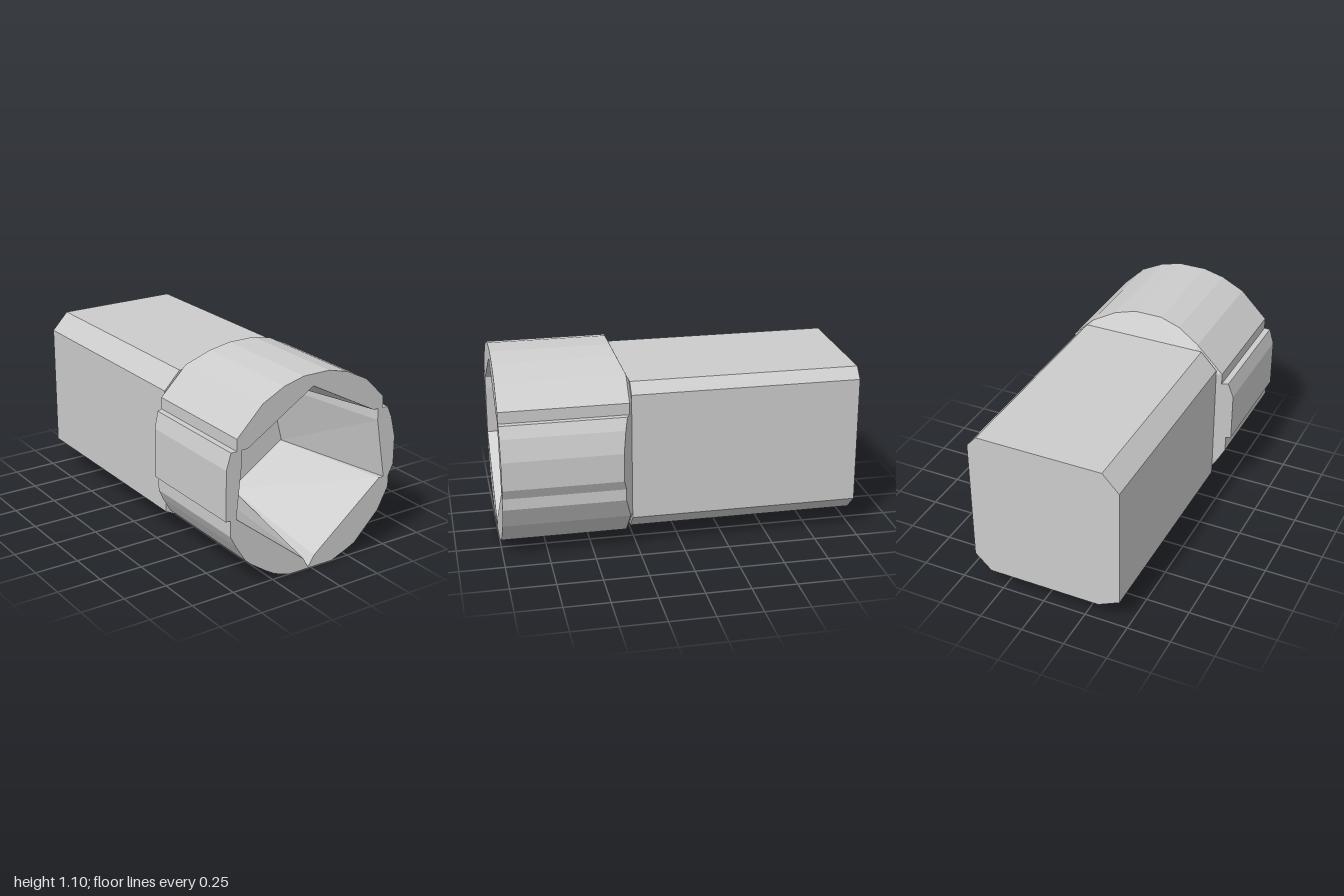
import * as THREE from 'three';

const FRONT = 1, SHOULDER = 0.28, BACK = -1;

// Cross-sections are [x, y] pairs, clockwise as seen from the front.
const OUTLINE = [
  [-0.08, 1.095], [0.08, 1.095], [0.2, 1.065], [0.33, 1], [0.45, 0.88], [0.45, 0.815],
  [0.485, 0.815], [0.515, 0.75], [0.545, 0.63], [0.545, 0.47], [0.515, 0.41], [0.515, 0.345],
  [0.45, 0.22], [0.295, 0.065], [0.23, 0.035], [0.14, 0], [-0.145, 0], [-0.235, 0.03],
  [-0.295, 0.065], [-0.39, 0.13], [-0.425, 0.16], [-0.485, 0.255], [-0.52, 0.32], [-0.52, 0.41],
  [-0.547, 0.41], [-0.547, 0.69], [-0.52, 0.78], [-0.485, 0.78], [-0.485, 0.845],
  [-0.33, 1], [-0.2, 1.065],
];
const MOUTH = [
  [-0.017, 1.03], [0.39, 0.815], [0.42, 0.815], [0.42, 0.75], [0.48, 0.41], [0.45, 0.41],
  [0.02, 0.065], [-0.017, 0.005], [-0.05, 0.065], [-0.485, 0.41], [-0.455, 0.7],
  [-0.455, 0.78], [-0.42, 0.78],
];
const FLOOR = [
  [-0.017, 0.91], [0.2, 0.815], [0.235, 0.815], [0.235, 0.78], [0.33, 0.41], [0.32, 0.41],
  [-0.017, 0.19], [-0.017, 0.19], [-0.017, 0.19], [-0.36, 0.41], [-0.3, 0.72],
  [-0.3, 0.78], [-0.265, 0.78],
];
const SHANK = [
  [-0.36, 0.97], [0.36, 0.97], [0.415, 0.91], [0.415, 0.19],
  [0.32, 0.1], [-0.33, 0.1], [-0.455, 0.16], [-0.455, 0.87],
];

const toPoints = (list) => list.map(([x, y]) => new THREE.Vector2(x, y));
const atZ = (list, z) => list.map(([x, y]) => [x, y, z]);

// Skin a series of matching rings with flat quads.
function loft(rings) {
  const pos = [];
  for (let r = 0; r < rings.length - 1; r++) {
    const a = rings[r], b = rings[r + 1], n = a.length;
    for (let i = 0; i < n; i++) {
      const j = (i + 1) % n;
      pos.push(...a[i], ...a[j], ...b[i], ...a[j], ...b[j], ...b[i]);
    }
  }
  const geo = new THREE.BufferGeometry();
  geo.setAttribute('position', new THREE.Float32BufferAttribute(pos, 3));
  geo.computeVertexNormals();
  return geo;
}

export function createModel() {
  const group = new THREE.Group();
  const material = new THREE.MeshStandardMaterial({ color: 0xcccccc, flatShading: true });
  const add = (name, geometry) => {
    const mesh = new THREE.Mesh(geometry, material);
    mesh.name = name;
    group.add(mesh);
    return mesh;
  };

  // Round head: its back edge bevels down onto the shank, longer where it overhangs more
  const clamped = OUTLINE.map(([x, y]) => [
    THREE.MathUtils.clamp(x, -0.455, 0.415),
    THREE.MathUtils.clamp(y, 0.1, 0.97),
    SHOULDER,
  ]);
  const bevelStart = OUTLINE.map(([x, y], i) => {
    const overhang = Math.hypot(x - clamped[i][0], y - clamped[i][1]);
    return [x, y, SHOULDER + 0.5 * overhang];
  });
  add('headShell', loft([atZ(OUTLINE, FRONT), bevelStart, clamped]));

  // Front rim around the socket opening
  const rim = new THREE.Shape(toPoints(OUTLINE));
  rim.holes.push(new THREE.Path(toPoints(MOUTH)));
  add('frontRim', new THREE.ShapeGeometry(rim)).position.z = FRONT;

  // Tapering socket walls, facing inward
  add('socketWalls', loft([atZ(FLOOR, SHOULDER), atZ(MOUTH, FRONT)]));

  // Square shank with chamfered corners; its front end closes the socket
  const shank = new THREE.ExtrudeGeometry(new THREE.Shape(toPoints(SHANK)), {
    depth: SHOULDER - BACK,
    bevelEnabled: false,
  });
  add('shank', shank).position.z = BACK;

  return group;
}
